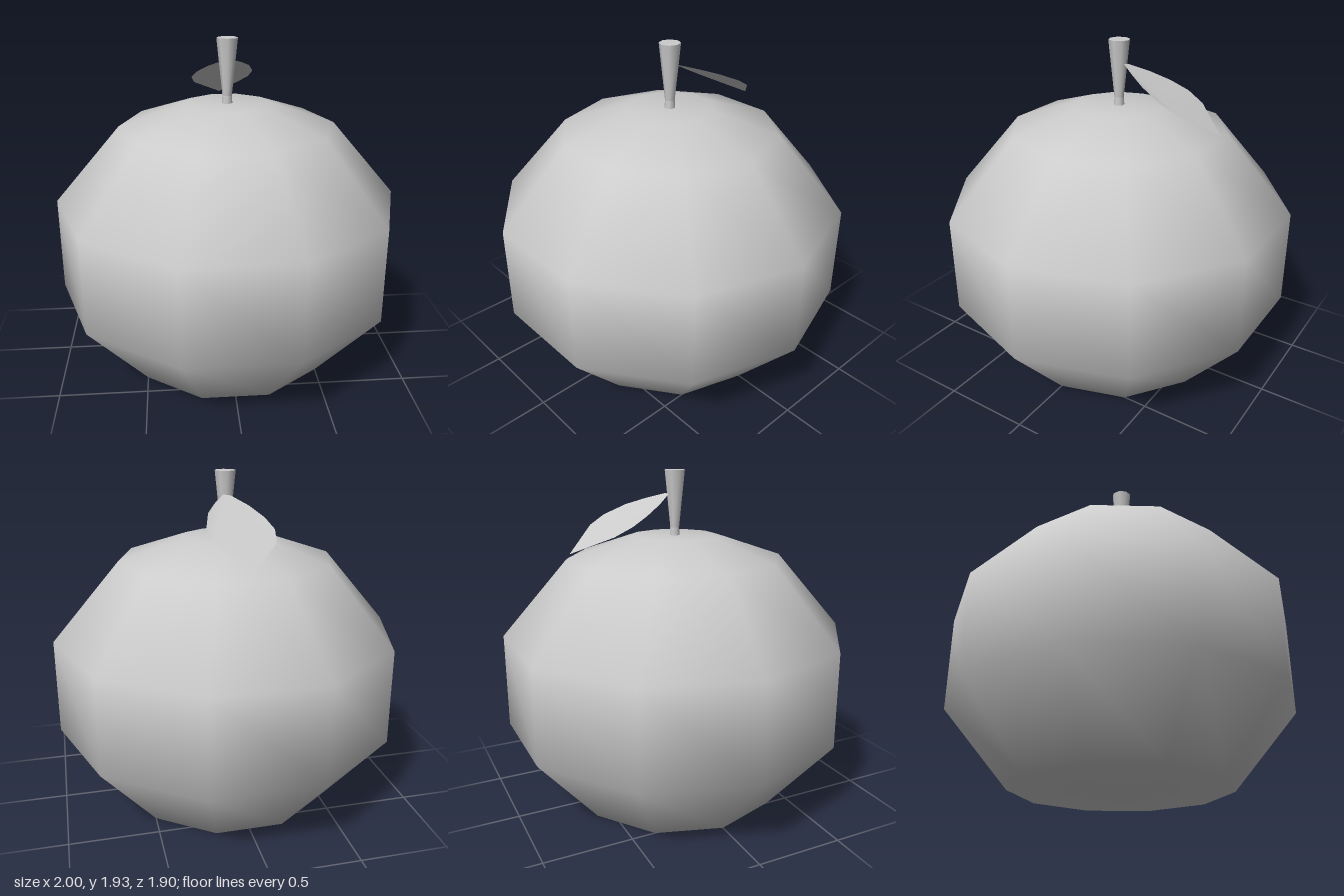
import * as THREE from 'three';

const grey = () => new THREE.MeshStandardMaterial({ color: 0xcccccc });

function add(parent, name, geometry, material = grey()) {
  const mesh = new THREE.Mesh(geometry, material);
  mesh.name = name;
  parent.add(mesh);
  return mesh;
}

// Ten-sided, smooth-shaded fruit with flat top and bottom
function fruitGeometry() {
  const profile = [[0, 0], [0.62, 0], [1, 0.45], [1, 1], [0.62, 1.44], [0.25, 1.565], [0, 1.565]];
  const points = profile.map(([r, y]) => new THREE.Vector2(r, y));
  return new THREE.LatheGeometry(points, 10, Math.PI / 2);
}

// Flat outline, then drooped backwards, rolled slightly and bowed
function leafGeometry() {
  const outline = [
    [0.02, 0.045], [0.09, 0.14], [0.15, 0.24], [0.185, 0.36], [0.167, 0.45], [0, 0.63],
    [-0.17, 0.435], [-0.19, 0.335], [-0.16, 0.24], [-0.1, 0.14], [-0.02, 0.05],
  ];
  const shape = new THREE.Shape(outline.map(([x, d]) => new THREE.Vector2(x, d)));
  const geometry = new THREE.ShapeGeometry(shape);
  const pos = geometry.attributes.position;
  for (let i = 0; i < pos.count; i++) {
    const x = pos.getX(i), d = pos.getY(i);
    const t = (d - 0.045) / 0.585;
    const y = 1.8 - 0.3 * t + 0.11 * x + 0.022 * Math.sin(Math.PI * t);
    pos.setXYZ(i, x, y, -d);
  }
  geometry.computeVertexNormals();
  return geometry;
}

export function createModel() {
  const model = new THREE.Group();
  model.name = 'fruit';
  add(model, 'body', fruitGeometry());

  // Stem widens towards its cut end
  const stem = new THREE.Group();
  stem.name = 'stem';
  add(stem, 'stemBase', new THREE.CylinderGeometry(0.027, 0.03, 0.05, 8, 1, true)).position.y = 1.585;
  add(stem, 'stemShaft', new THREE.CylinderGeometry(0.06, 0.027, 0.32, 8)).position.y = 1.77;
  model.add(stem);

  const leafMaterial = grey();
  leafMaterial.side = THREE.DoubleSide;
  add(model, 'leaf', leafGeometry(), leafMaterial);
  return model;
}
